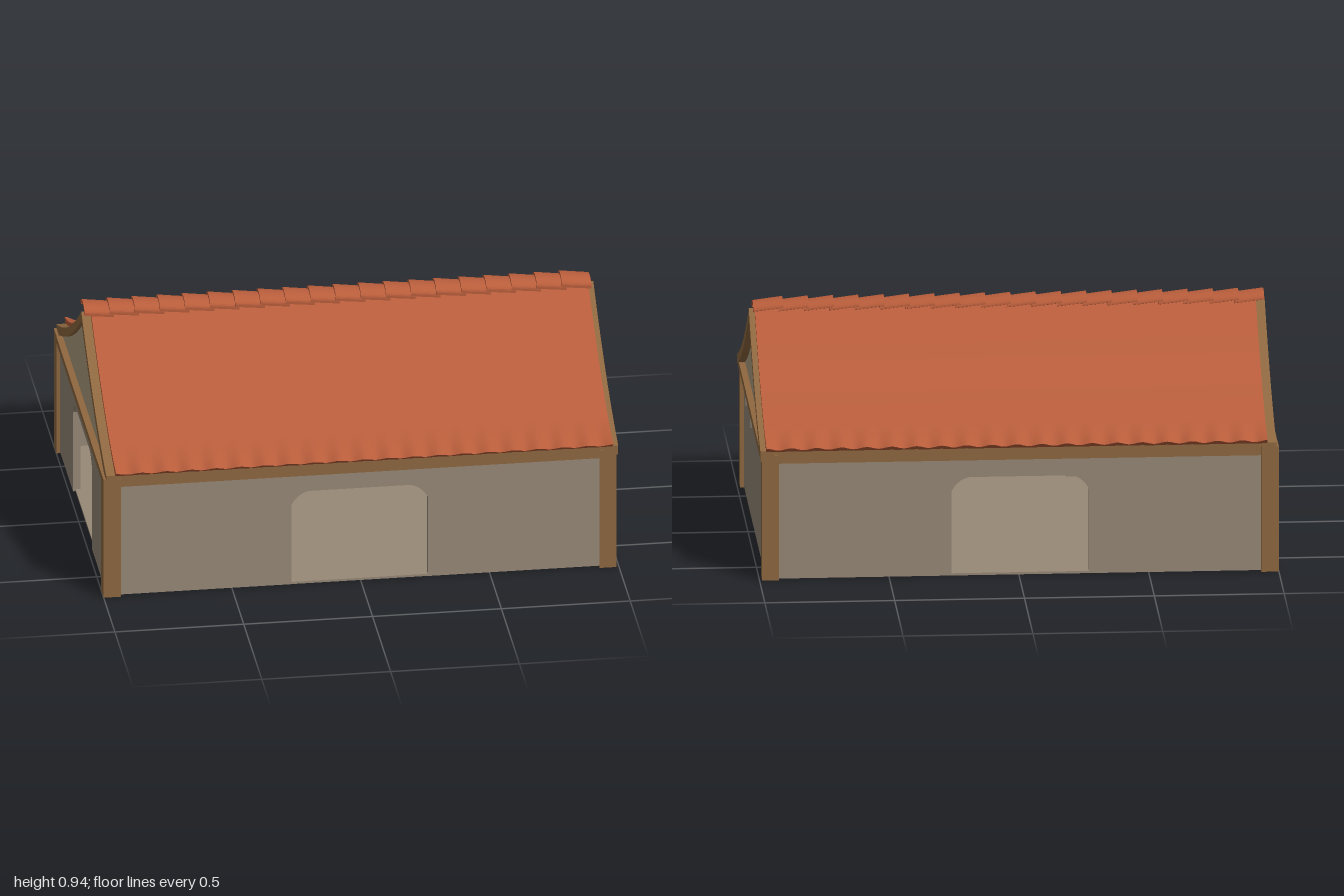
import * as THREE from 'three';

const material = (name, color, extra = {}) => {
  const m = new THREE.MeshStandardMaterial({ color, ...extra });
  m.name = name;
  return m;
};

// Height of the tile surface at distance z from the ridge (gently sagging slope)
const roofY = (z) => 0.91 - 0.7635 * Math.abs(z) + 0.315 * z * z;

export function createModel() {
  const model = new THREE.Group();
  const plaster = material('wall plaster', 0x978977);
  const gablePlaster = material('gable plaster', 0xb0a080);
  const wood = material('timber', 0x8f6840);
  const tile = material('clay tile', 0xb85d3b);

  const add = (name, geometry, mat, x = 0, y = 0, z = 0, ry = 0) => {
    const mesh = new THREE.Mesh(geometry, mat);
    mesh.name = name;
    mesh.position.set(x, y, z);
    mesh.rotation.y = ry;
    model.add(mesh);
    return mesh;
  };
  // Box given by its limits on each axis
  const box = (name, mat, x0, x1, y0, y1, z0, z1) =>
    add(name, new THREE.BoxGeometry(x1 - x0, y1 - y0, z1 - z0), mat,
      (x0 + x1) / 2, (y0 + y1) / 2, (z0 + z1) / 2);
  const extrude = (shape, depth) =>
    new THREE.ExtrudeGeometry(shape, { depth, bevelEnabled: false, curveSegments: 8 });
  // Cross-section in z and y, extruded between two x positions
  const acrossX = (name, shape, mat, x0, x1) =>
    add(name, extrude(shape, x1 - x0).rotateY(Math.PI / 2), mat, x0);

  // Floor slab
  box('floor', plaster, -0.975, 0.965, 0.003, 0.012, -0.675, 0.675);

  // Walls, three of them with a doorway with rounded upper corners
  const wallShape = (half, door) => {
    const s = new THREE.Shape();
    s.moveTo(-half, 0.004);
    if (door) {
      s.lineTo(-0.265, 0.004);
      s.lineTo(-0.265, 0.34);
      s.bezierCurveTo(-0.25, 0.37, -0.22, 0.4, -0.18, 0.396);
      s.lineTo(0.18, 0.396);
      s.bezierCurveTo(0.22, 0.4, 0.25, 0.37, 0.265, 0.34);
      s.lineTo(0.265, 0.004);
    }
    s.lineTo(half, 0.004);
    s.lineTo(half, 0.49);
    s.lineTo(-half, 0.49);
    s.closePath();
    return s;
  };
  const wallDepth = 0.03;
  add('frontWall', extrude(wallShape(0.96, true), wallDepth), plaster, -0.005, 0, 0.648);
  add('backWall', extrude(wallShape(0.96, true), wallDepth), plaster, -0.005, 0, -0.678);
  acrossX('leftWall', wallShape(0.66, false), plaster, 0.945, 0.975);
  acrossX('rightWall', wallShape(0.66, true), plaster, -0.985, -0.955);

  // Small blind openings below the side beam
  for (const z of [0.525, 0.22, -0.427]) {
    box('blindWindow', plaster, 0.972, 0.979, 0.365, 0.465, z - 0.046, z + 0.046);
  }

  // Corner posts and the beams on top of the walls
  for (const s of [-1, 1]) {
    const z0 = s > 0 ? 0.62 : -0.69;
    box('cornerPost', wood, -1, -0.932, 0, 0.5, z0, z0 + 0.07);
    box('cornerPost', wood, 0.925, 0.99, 0, 0.5, z0, z0 + 0.07);
    const b0 = s > 0 ? 0.645 : -0.686;
    box('eaveBeam', wood, -0.94, 0.93, 0.465, 0.503, b0, b0 + 0.041);
  }
  box('gableBeam', wood, 0.935, 0.994, 0.47, 0.498, -0.675, 0.675);
  box('gableBeam', wood, -1, -0.945, 0.47, 0.498, -0.675, 0.675);

  // Strip that follows the roof curve between two drops below the tiles
  const roofBand = (top, bottom, half) => {
    const s = new THREE.Shape();
    const n = 24;
    const at = (i) => -half + (2 * half * i) / n;
    for (let i = 0; i <= n; i++) {
      const z = at(i);
      if (i) s.lineTo(z, roofY(z) - top);
      else s.moveTo(z, roofY(z) - top);
    }
    for (let i = n; i >= 0; i--) s.lineTo(at(i), roofY(at(i)) - bottom);
    s.closePath();
    return s;
  };
  acrossX('roofBoards', roofBand(0.017, 0.03, 0.69), wood, -0.95, 0.96);
  acrossX('gableRafter', roofBand(0.017, 0.055, 0.69), wood, -0.99, -0.945);
  acrossX('gableRafter', roofBand(0.017, 0.055, 0.69), wood, 0.945, 0.997);

  // Gable panels below the rafters
  const gable = new THREE.Shape();
  gable.moveTo(-0.64, 0.49);
  gable.lineTo(0.64, 0.49);
  for (let i = 0; i <= 24; i++) {
    const z = 0.64 - (1.28 * i) / 24;
    gable.lineTo(z, roofY(z) - 0.05);
  }
  gable.closePath();
  acrossX('gablePanel', gable, gablePlaster, 0.95, 0.97);
  acrossX('gablePanel', gable, gablePlaster, -0.975, -0.955);

  // Tiled slopes: sagging sheets that ripple towards the eaves
  const width = 1.93;
  const rows = 20;
  const slope = new THREE.BoxGeometry(width, 0.02, 1, rows * 8, 1, 28);
  const p = slope.attributes.position;
  for (let i = 0; i < p.count; i++) {
    const x = p.getX(i);
    const t = p.getZ(i) + 0.5;
    const isTop = p.getY(i) > 0;
    const ripple = Math.cos((x / width) * rows * Math.PI * 2);
    const fade = Math.pow(Math.max(0, (t - 0.8) / 0.2), 1.5);
    const z = t * 0.707;
    p.setY(i, roofY(z) + (isTop ? 0 : -0.018) + 0.006 * ripple * fade);
    p.setZ(i, z + fade * (0.007 * ripple - (isTop ? 0 : 0.022)));
  }
  slope.computeVertexNormals();
  add('frontRoofSlope', slope, tile, 0.01);
  add('backRoofSlope', slope, tile, 0.01, 0, 0, Math.PI);

  // Ridge of overlapping arched caps, each wider at its right end
  const arch = new THREE.Shape();
  arch.moveTo(0.056, 0);
  arch.absellipse(0, 0.008, 0.056, 0.028, 0, Math.PI, false);
  arch.lineTo(-0.056, 0);
  arch.lineTo(-0.044, 0);
  arch.absellipse(0, 0.004, 0.044, 0.02, Math.PI, 0, true);
  arch.closePath();
  const step = 0.0975;
  const length = 0.115;
  const cap = extrude(arch, length).rotateY(Math.PI / 2);
  const c = cap.attributes.position;
  for (let i = 0; i < c.count; i++) {
    const k = c.getX(i) / length;
    c.setY(i, c.getY(i) - 0.014 * k);
    c.setZ(i, c.getZ(i) * (1 - 0.06 * k));
  }
  cap.computeVertexNormals();
  for (let i = 0; i < 20; i++) add('ridgeCap', cap, tile, -0.985 + i * step, 0.9, 0);

  return model;
}
